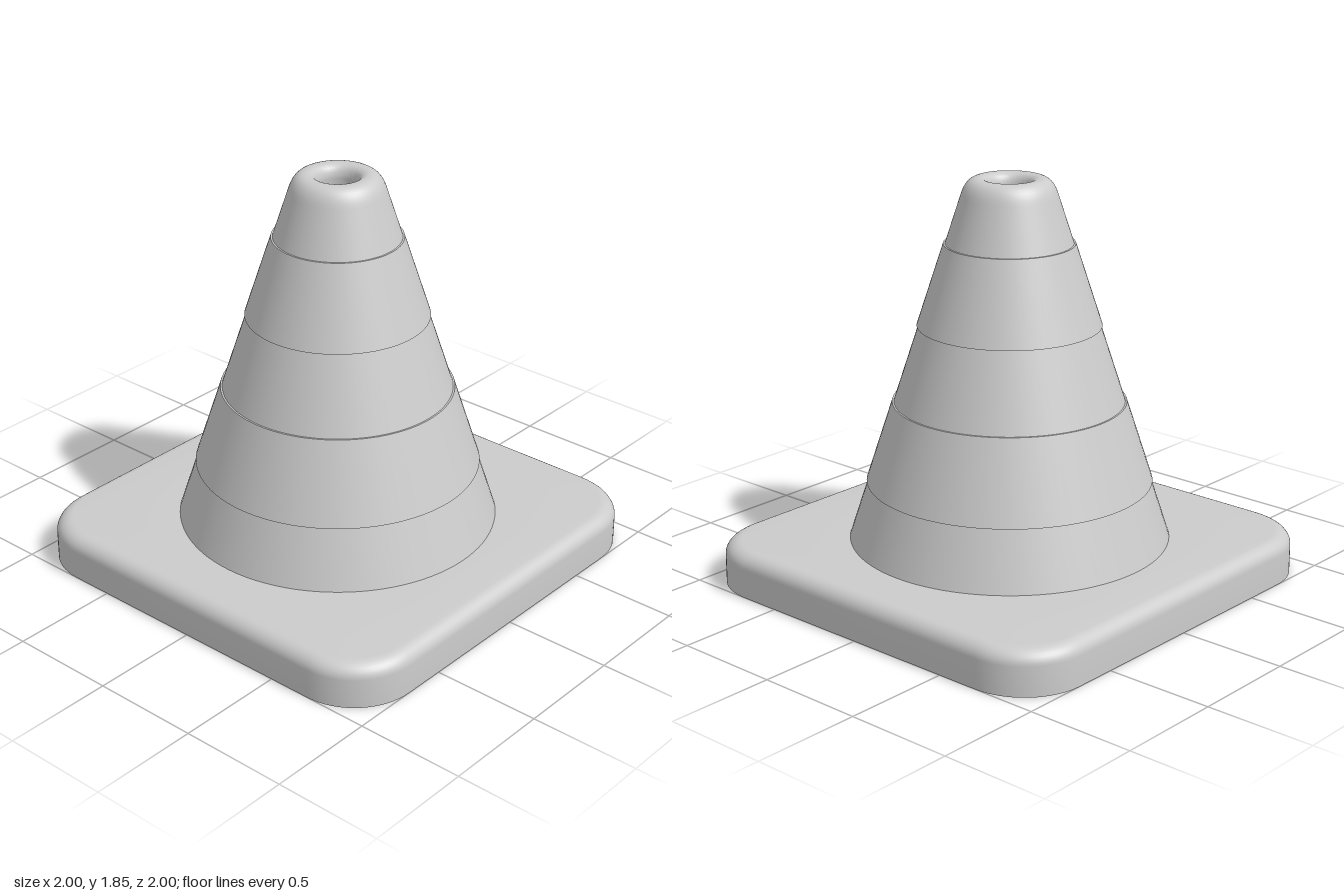
import * as THREE from 'three';
import { toCreasedNormals } from 'three/addons/utils/BufferGeometryUtils.js';

const material = new THREE.MeshStandardMaterial({ color: 0xcccccc });

// Outline of a rounded square (a circle when radius equals half)
function roundedSquare(half, radius, y, steps = 16) {
  const points = [];
  const c = half - radius;
  for (let k = 0; k < 4; k++) {
    const mid = (k + 0.5) * Math.PI / 2;
    for (let i = 0; i <= steps; i++) {
      const a = (k + i / steps) * Math.PI / 2;
      points.push([
        Math.sign(Math.cos(mid)) * c + radius * Math.cos(a),
        y,
        Math.sign(Math.sin(mid)) * c + radius * Math.sin(a),
      ]);
    }
  }
  return points;
}

// Skin a list of closed rings
function loft(rings) {
  const n = rings[0].length;
  const index = [];
  for (let i = 0; i < rings.length - 1; i++) {
    for (let j = 0; j < n; j++) {
      const k = (j + 1) % n;
      const a = i * n + j, b = i * n + k;
      index.push(a, a + n, b, b, a + n, b + n);
    }
  }
  const geometry = new THREE.BufferGeometry();
  geometry.setAttribute('position', new THREE.Float32BufferAttribute(rings.flat(2), 3));
  geometry.setIndex(index);
  return toCreasedNormals(geometry, 0.6);
}

// Square foot: recessed underside, upright sides, soft upper edge
function createBase() {
  const sections = [
    [0.51, 0.51, 0.12],
    [0.84, 0.27, 0.12],
    [0.84, 0.27, 0],
    [1, 0.3, 0],
  ];
  const bevel = 0.065;
  for (let i = 0; i <= 8; i++) {
    const a = i / 8 * Math.PI / 2;
    const inset = bevel * (1 - Math.cos(a));
    sections.push([1 - inset, 0.3 - inset * 0.6, 0.2 - bevel + bevel * Math.sin(a)]);
  }
  sections.push([0.7, 0.7, 0.2]);
  const mesh = new THREE.Mesh(loft(sections.map(s => roundedSquare(...s))), material);
  mesh.name = 'base';
  return mesh;
}

// Hollow cone with two raised bands and a rounded rim around the top hole
function createCone() {
  const radiusAt = y => 0.725 - (y - 0.2) * 0.325;
  const lip = 0.008;
  const profile = [[radiusAt(0.19), 0.19]];
  for (const [low, high] of [[0.47, 0.84], [1.19, 1.56]]) {
    profile.push(
      [radiusAt(low), low], [radiusAt(low) + lip, low],
      [radiusAt(high) + lip, high], [radiusAt(high), high],
    );
  }
  // Outer rim curve
  const outer = new THREE.QuadraticBezierCurve(
    new THREE.Vector2(radiusAt(1.77), 1.77),
    new THREE.Vector2(0.192, 1.85),
    new THREE.Vector2(0.14, 1.85),
  );
  // Inner rim curve
  const inner = new THREE.QuadraticBezierCurve(
    new THREE.Vector2(0.135, 1.85),
    new THREE.Vector2(0.09, 1.85),
    new THREE.Vector2(0.088, 1.79),
  );
  const points = [
    ...profile.map(p => new THREE.Vector2(...p)),
    ...outer.getPoints(8),
    ...inner.getPoints(8),
    new THREE.Vector2(0.51, 0.12),
  ];
  const geometry = toCreasedNormals(new THREE.LatheGeometry(points, 96), 0.6);
  const mesh = new THREE.Mesh(geometry, material);
  mesh.name = 'cone';
  return mesh;
}

export function createModel() {
  const group = new THREE.Group();
  group.name = 'trafficCone';
  group.add(createBase(), createCone());
  return group;
}
